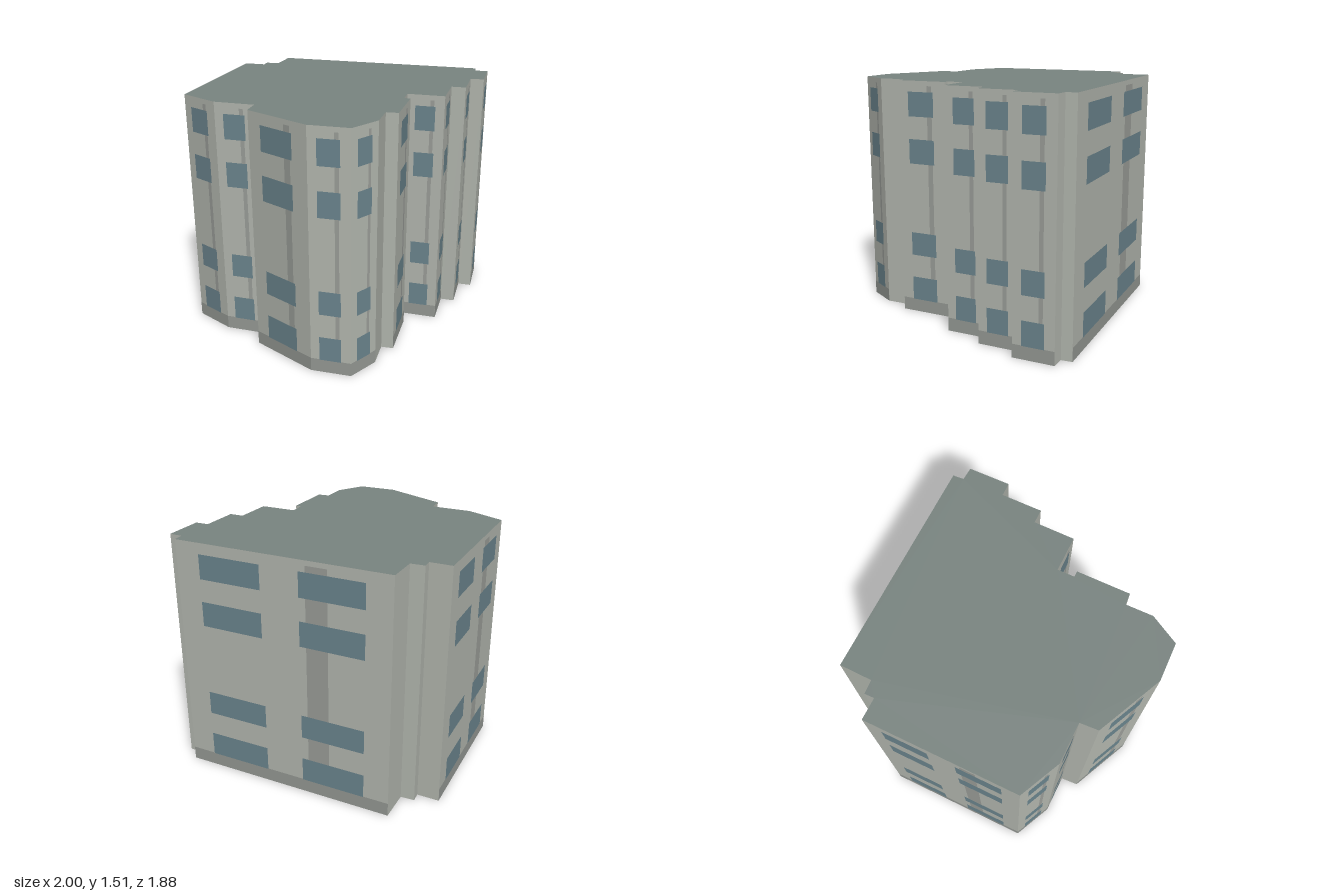
import * as THREE from 'three';

const HEIGHT = 1.515;
const PLINTH = 0.085;
// bottom and top of each window row
const ROWS = [[0.083, 0.238], [0.388, 0.54], [0.993, 1.15], [1.293, 1.447]];
// left and right window edges as fractions of the wall width, by window count
const BAYS = { 0: [], 1: [[0.22, 0.755]], 2: [[0.115, 0.41], [0.59, 0.885]] };

// footprint corners x, z, and the windows per floor on the wall that starts there
const PLAN = [
  [-1, 0.12, 1], [-0.813, 0.318, 1], [-0.578, 0.412, 0], [-0.613, 0.522, 1],
  [-0.3, 0.85, 1], [-0.07, 0.935, 1], [0.09, 0.805, 0], [0.15, 0.645, 0],
  [0.22, 0.668, 1], [0.34, 0.355, 0], [0.305, 0.34, 0], [0.342, 0.24, 1],
  [0.556, 0.323, 1], [0.65, 0.083, 0], [0.733, 0.115, 1], [0.825, -0.125, 0],
  [0.905, -0.095, 1], [0.997, -0.34, 0], [0.92, -0.375, 0], [0.94, -0.44, 2],
  [-0.35, -0.94, 0], [-0.425, -0.753, 0], [-0.507, -0.78, 0], [-0.527, -0.722, 0],
  [-0.655, -0.772, 2],
];

const paint = (color, side = THREE.FrontSide) =>
  new THREE.MeshStandardMaterial({ color, side, flatShading: true });

export function createModel() {
  const building = new THREE.Group();
  building.name = 'apartmentBlock';
  const wallPaint = paint(0xb4b8b0, THREE.DoubleSide);
  const roofPaint = paint(0x7a8581, THREE.DoubleSide);
  const stripPaint = paint(0x9c9f9a);
  const plinthPaint = paint(0x969a95);
  const glassPaint = paint(0x6c868f);

  // flat rectangle on a wall: x0..x1 along it, y0..y1 up, out = offset from it
  function panel(name, x0, x1, y0, y1, out, material) {
    const mesh = new THREE.Mesh(new THREE.PlaneGeometry(x1 - x0, y1 - y0), material);
    mesh.position.set((x0 + x1) / 2, (y0 + y1) / 2, out);
    mesh.name = name;
    return mesh;
  }

  // walls, each built in its own frame running left to right seen from outside
  PLAN.forEach(([x, z, count], i) => {
    const [nx, nz] = PLAN[(i + 1) % PLAN.length];
    const width = Math.hypot(nx - x, nz - z);
    const facade = new THREE.Group();
    facade.name = 'facade';
    facade.position.set(x, 0, z);
    facade.rotation.y = Math.atan2(z - nz, nx - x);
    facade.add(panel('wall', 0, width, 0, HEIGHT, 0, wallPaint));

    if (count > 0) {
      facade.add(panel('plinth', 0, width, 0, PLINTH, 0.001, plinthPaint));
      facade.add(panel('verticalStrip', 0.62 * width, 0.72 * width, PLINTH, 1.485, 0.001, stripPaint));
      for (const [l, r] of BAYS[count])
        for (const [y0, y1] of ROWS)
          facade.add(panel('window', l * width, r * width, y0, y1, 0.003, glassPaint));
    }
    building.add(facade);
  });

  // flat roof over the footprint, open underneath
  const outline = new THREE.Shape(PLAN.map(([x, z]) => new THREE.Vector2(x, -z)));
  const roof = new THREE.Mesh(new THREE.ShapeGeometry(outline).rotateX(-Math.PI / 2), roofPaint);
  roof.position.y = HEIGHT;
  roof.name = 'roof';
  building.add(roof);

  return building;
}
